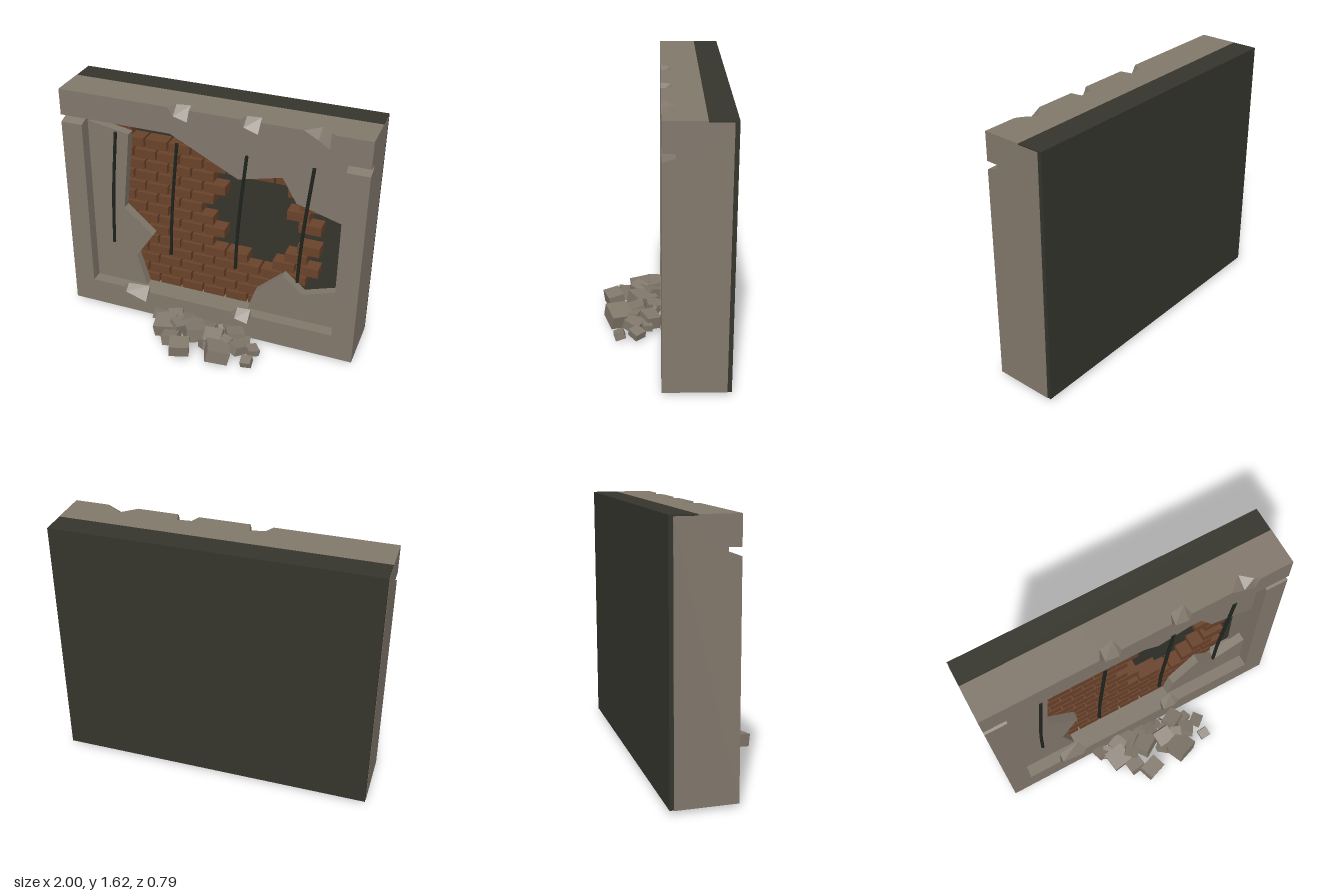
import * as THREE from 'three';

const mat = (name, color) => {
  const m = new THREE.MeshStandardMaterial({ color });
  m.name = name;
  return m;
};

export function createModel() {
  const concrete = mat('concrete', 0x82786c);
  const brickMat = mat('brick', 0x69422a);
  const dark = mat('dark mortar', 0x35352d);
  const steel = mat('rusty steel', 0x20241e);

  const model = new THREE.Group();
  model.name = 'brokenWall';
  const add = (name, geometry, material, parent = model) => {
    const mesh = new THREE.Mesh(geometry, material);
    mesh.name = name;
    parent.add(mesh);
    return mesh;
  };
  const group = (name) => {
    const g = new THREE.Group();
    g.name = name;
    model.add(g);
    return g;
  };
  const box = (x0, x1, y0, y1, z0, z1) =>
    new THREE.BoxGeometry(x1 - x0, y1 - y0, z1 - z0).translate((x0 + x1) / 2, (y0 + y1) / 2, (z0 + z1) / 2);
  const shape = (pts) => new THREE.Shape(pts.map(([x, y]) => new THREE.Vector2(x, y)));

  // Beam lofted along x; each station is [x, chip height, chip depth] at the top front edge
  const chippedBeam = (y0, y1, zBack, stations) => {
    const pos = [], index = [], n = 5;
    for (const [x, dy, dz] of stations) {
      pos.push(x, y0, 0, x, y1 - dy, 0, x, y1, -dz, x, y1, zBack, x, y0, zBack);
    }
    const last = (stations.length - 1) * n;
    for (let i = 0; i < last; i += n) {
      for (let j = 0; j < n; j++) {
        const k = (j + 1) % n;
        index.push(i + j, i + n + j, i + n + k, i + j, i + n + k, i + k);
      }
    }
    for (let j = 1; j < n - 1; j++) {
      index.push(0, j, j + 1, last, last + j + 1, last + j);
    }
    const indexed = new THREE.BufferGeometry();
    indexed.setAttribute('position', new THREE.Float32BufferAttribute(pos, 3));
    indexed.setIndex(index);
    const g = indexed.toNonIndexed();
    g.computeVertexNormals();
    return g;
  };

  // Dark core behind the bricks
  add('backPanel', box(-0.998, 0.998, 0.033, 1.63, -0.4, -0.24), dark);

  // Frame: lintel, sill and two posts
  add('lintel', chippedBeam(1.455, 1.63, -0.24, [
    [-1, 0, 0],
    [-0.26, 0, 0], [-0.225, 0.055, 0.06], [-0.135, 0.08, 0.075], [-0.12, 0, 0],
    [0.2, 0, 0], [0.225, 0.05, 0.06], [0.315, 0.08, 0.07], [0.33, 0, 0],
    [0.59, 0, 0], [0.68, 0.05, 0.08], [0.75, 0.095, 0.02], [0.785, 0, 0],
    [1, 0, 0],
  ]), concrete);
  add('sill', chippedBeam(0.03, 0.21, -0.375, [
    [-0.86, 0, 0],
    [-0.63, 0, 0], [-0.61, 0.04, 0.05], [-0.46, 0.09, 0.07], [-0.425, 0, 0],
    [0.165, 0, 0], [0.19, 0.05, 0.06], [0.28, 0.07, 0.07], [0.305, 0, 0],
    [0.86, 0, 0],
  ]), concrete);
  // Post side profile as [depth, height], with a notch below the lintel
  const postProfile = shape([[0, 0.03], [0.375, 0.03], [0.375, 1.622], [0.075, 1.622], [0.075, 1.43], [0, 1.405]]);
  for (const [name, x] of [['rightPost', -1], ['leftPost', 0.855]]) {
    add(name, new THREE.ExtrudeGeometry(postProfile, { depth: 0.145, bevelEnabled: false })
      .rotateY(Math.PI / 2).translate(x, 0, 0), concrete);
  }

  // Remaining plaster sheets with broken edges
  const plaster = group('plaster');
  const sheets = {
    rightPlaster: [[-0.857, 0.205], [-0.48, 0.205], [-0.55, 0.44], [-0.425, 0.63], [-0.625, 0.805], [-0.57, 1.355], [-0.857, 1.405]],
    upperPlaster: [[-0.32, 1.43], [0.17, 1.18], [0.455, 1.25], [0.55, 1.09], [0.857, 1.0], [0.857, 1.43]],
    lowerPlaster: [[0.255, 0.205], [0.857, 0.205], [0.857, 0.5], [0.625, 0.42], [0.49, 0.535], [0.3, 0.355]],
  };
  for (const [name, pts] of Object.entries(sheets)) {
    add(name, new THREE.ExtrudeGeometry(shape(pts), { depth: 0.06, bevelEnabled: false })
      .translate(0, 0, -0.14), concrete, plaster);
  }

  // Bricks: each row lists the x ranges that are still standing, bottom row first
  const bricks = group('bricks');
  const rows = [
    [[-0.9, 0.6]], [[-0.9, 0.6]], [[-0.9, 0.6]], [[-0.9, 0.63]],
    [[-0.9, 0.23], [0.39, 0.71]],
    [[-0.9, -0.01], [0.47, 0.63]],
    [[-0.9, 0.07], [0.55, 0.71]],
    [[-0.9, -0.01]],
    [[-0.9, -0.09], [0.55, 0.71]],
    [[-0.9, -0.01], [0.47, 0.63]],
    [[-0.9, 0.07], [0.55, 0.71]],
    [[-0.9, -0.01], [0.47, 0.63]],
    [[-0.9, 0.55]], [[-0.9, -0.01]],
    [[-0.73, -0.57], [-0.25, -0.09]],
  ];
  rows.forEach((ranges, r) => {
    const y = 0.205 + r * 0.08;
    for (let x = r % 2 ? -0.81 : -0.73; x < 0.8; x += 0.16) {
      const mid = x + 0.08;
      if (ranges.some(([a, b]) => mid > a && mid < b)) {
        add('brick', box(x + 0.007, x + 0.153, y, y + 0.063, -0.245, -0.142), brickMat, bricks);
      }
    }
  });

  // Bent reinforcing rods
  const rods = group('rods');
  for (const x of [-0.635, -0.215, 0.24, 0.66]) {
    const path = new THREE.CatmullRomCurve3([
      new THREE.Vector3(x, 1.38, -0.03),
      new THREE.Vector3(x - 0.04, 0.98, -0.04),
      new THREE.Vector3(x - 0.058, 0.75, -0.05),
      new THREE.Vector3(x - 0.068, 0.53, -0.055),
    ]);
    add('rod', new THREE.TubeGeometry(path, 12, 0.011, 8), steel, rods);
    for (const [t, turn] of [[0, -1], [1, 1]]) {
      const cap = add('rodEnd', new THREE.CircleGeometry(0.011, 8).rotateX(turn * Math.PI / 2), steel, rods);
      cap.position.copy(path.getPoint(t));
    }
  }

  // Rubble heap: [x, y, z, size, turn]
  const rubble = group('rubble');
  let seed = 7;
  const rand = () => (seed = (seed * 16807) % 2147483647) / 2147483647;
  const stones = [
    [-0.34, 0.08, 0.04, 0.08, 0.3], [-0.29, 0.07, 0.07, 0.09, 0.9], [-0.25, 0.08, 0.13, 0.14, 0.15],
    [-0.17, 0.07, 0.23, 0.11, 0.1], [-0.08, 0.08, 0.31, 0.13, 0.35], [-0.13, 0.09, 0.06, 0.12, 0.7],
    [-0.21, 0.1, 0.05, 0.1, 0.4], [-0.05, 0.08, 0.12, 0.14, 0.6], [0.03, 0.08, 0.06, 0.09, 0.2],
    [0.1, 0.09, 0.15, 0.12, 0.1], [0.07, 0.07, 0.21, 0.08, 0.8], [0.17, 0.08, 0.27, 0.15, 0.4],
    [0.22, 0.08, 0.07, 0.12, 0.5], [0.27, 0.07, 0.17, 0.1, 1.0], [0.3, 0.07, 0.09, 0.07, 0.3],
    [0.37, 0.06, 0.15, 0.08, 0.7], [0.37, 0.05, 0.26, 0.07, 0.1], [0.19, 0.09, 0.17, 0.08, 1.2],
    [-0.15, 0.11, 0.14, 0.1, 0.9], [-0.02, 0.05, 0.03, 0.08, 0.5], [0.13, 0.05, 0.06, 0.07, 0.2],
  ];
  for (const [x, y, z, s, turn] of stones) {
    const stone = add('stone', new THREE.BoxGeometry(s, s * (0.5 + 0.2 * rand()), s * (0.8 + 0.3 * rand())), concrete, rubble);
    stone.position.set(x, y, z);
    stone.rotation.set((rand() - 0.5) * 0.8, turn, (rand() - 0.5) * 0.8, 'YXZ');
  }
  // Small fragments
  for (let i = 0; i < 12; i++) {
    const s = 0.025 + 0.025 * rand();
    const chip = add('fragment', new THREE.BoxGeometry(s, s * 0.7, s), concrete, rubble);
    chip.position.set(-0.33 + 0.68 * rand(), 0.03 + 0.05 * rand(), 0.03 + 0.2 * rand());
    chip.rotation.set(rand(), rand() * 3, rand());
  }
  return model;
}
